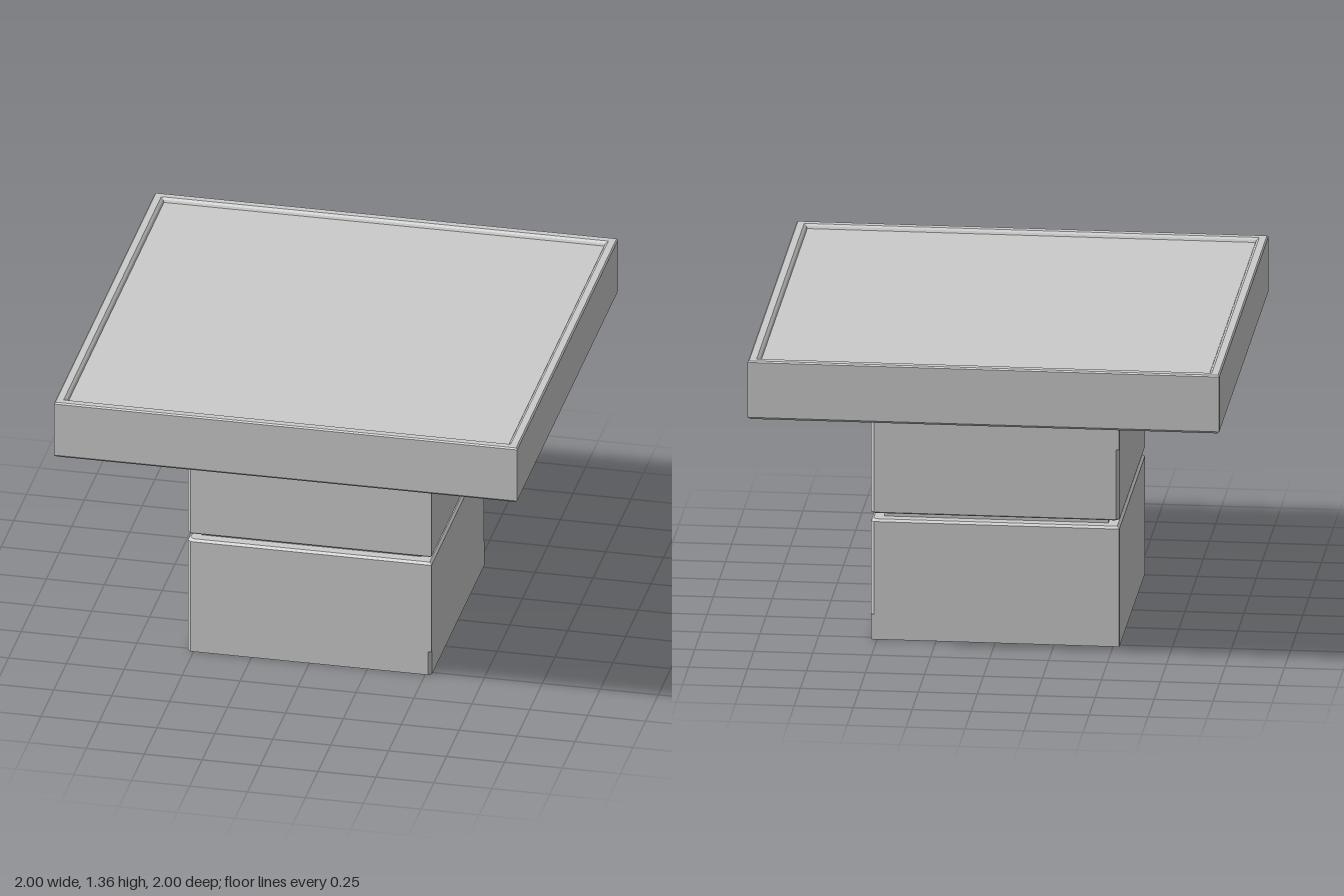
import * as THREE from 'three';

const material = new THREE.MeshStandardMaterial({ color: 0xcccccc, flatShading: true });
const SHARP = [0, 0, 0, 0];

// Square ring with half-width h; chips = cut size at corners (+x+z, +x-z, -x-z, -x+z)
function ring(y, h, chips) {
  const corners = [[1, 1], [1, -1], [-1, -1], [-1, 1]];
  return corners.flatMap(([sx, sz], i) => {
    const c = Math.max(chips[i], 0.0005);
    const alongX = new THREE.Vector3(sx * (h - c), y, sz * h);
    const alongZ = new THREE.Vector3(sx * h, y, sz * (h - c));
    return i % 2 ? [alongZ, alongX] : [alongX, alongZ];
  });
}

// Loft stacked rings [y, halfWidth, chips] from bottom to top and cap both ends
function loft(name, sections) {
  const rings = sections.map(([y, h, chips = SHARP]) => ring(y, h, chips));
  const pos = [];
  const tri = (...points) => points.forEach((p) => pos.push(p.x, p.y, p.z));
  for (let k = 0; k < rings.length - 1; k++) {
    const lo = rings[k], hi = rings[k + 1];
    for (let i = 0; i < 8; i++) {
      const j = (i + 1) % 8;
      tri(lo[i], lo[j], hi[j]);
      tri(lo[i], hi[j], hi[i]);
    }
  }
  const first = rings[0], last = rings[rings.length - 1];
  for (let i = 1; i < 7; i++) {
    tri(first[0], first[i + 1], first[i]);
    tri(last[0], last[i], last[i + 1]);
  }
  const geometry = new THREE.BufferGeometry();
  geometry.setAttribute('position', new THREE.Float32BufferAttribute(pos, 3));
  geometry.computeVertexNormals();
  const mesh = new THREE.Mesh(geometry, material);
  mesh.name = name;
  return mesh;
}

function neck(name, y0, y1) {
  const mesh = new THREE.Mesh(new THREE.BoxGeometry(0.95, y1 - y0, 0.95), material);
  mesh.position.y = (y0 + y1) / 2;
  mesh.name = name;
  return mesh;
}

export function createModel() {
  const group = new THREE.Group();
  group.name = 'pedestal';
  const c = 0.014, w = 0.527, b = 0.01;

  // Lower block, with worn strips along some corners
  const low = [c, 0, 0, c], middle = [0, c, 0, c];
  group.add(loft('lowerBlock', [
    [0, w, low], [0.11, w, low], [0.11, w, middle],
    [0.53 - b, w, middle], [0.53, w - b, middle],
  ]));
  group.add(neck('lowerNeck', 0.52, 0.57));

  // Upper block
  const under = [0, c, c, c], over = [0, c, 0, c];
  group.add(loft('upperBlock', [
    [0.557, w - b / 2, under], [0.562, w, under], [0.87, w, under], [0.87, w, over],
    [1.08 - b, w, over], [1.08, w - b, over],
  ]));
  group.add(neck('upperNeck', 1.07, 1.11));

  // Top slab with a raised rim around a shallow tray
  group.add(loft('topSlab', [
    [1.102, 0.99], [1.112, 1], [1.354, 1], [1.36, 0.994],
    [1.36, 0.965], [1.352, 0.955], [1.342, 0.95],
  ]));
  return group;
}
